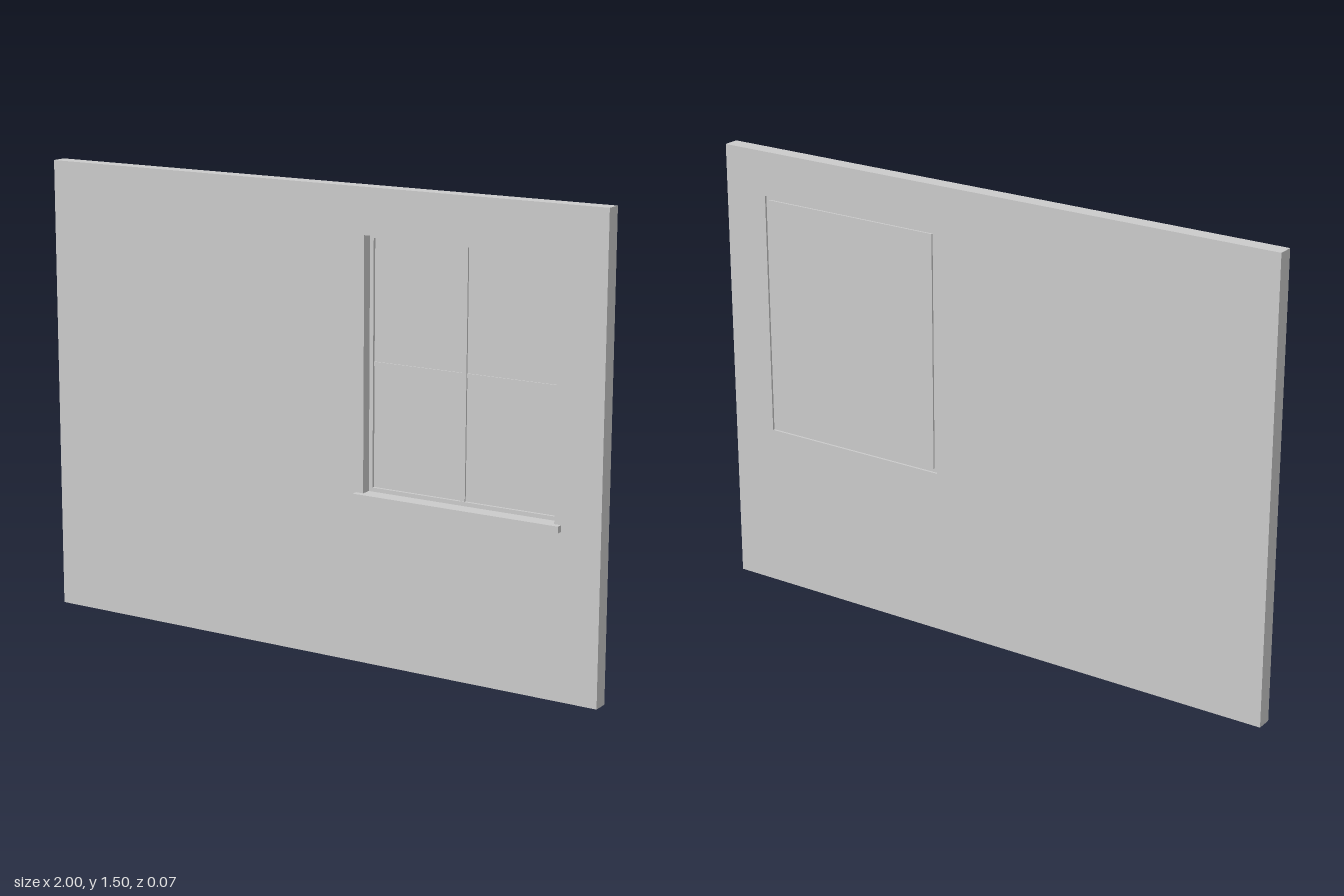
import * as THREE from 'three';

export function createModel() {
  const group = new THREE.Group();
  const material = new THREE.MeshStandardMaterial({ color: 0xcccccc });

  function add(name, geometry) {
    const mesh = new THREE.Mesh(geometry, material);
    mesh.name = name;
    group.add(mesh);
  }

  // Box given by its limits
  function box(name, x0, x1, y0, y1, z0, z1) {
    const g = new THREE.BoxGeometry(x1 - x0, y1 - y0, z1 - z0);
    add(name, g.translate((x0 + x1) / 2, (y0 + y1) / 2, (z0 + z1) / 2));
  }

  // Rectangular slab with a rectangular hole; rectangles are [x0, x1, y0, y1]
  function slabWithHole(name, outer, hole, z0, z1) {
    const corners = ([x0, x1, y0, y1]) =>
      [[x0, y0], [x1, y0], [x1, y1], [x0, y1]].map(([x, y]) => new THREE.Vector2(x, y));
    const shape = new THREE.Shape(corners(outer));
    shape.holes.push(new THREE.Path(corners(hole).reverse()));
    const g = new THREE.ExtrudeGeometry(shape, { depth: z1 - z0, bevelEnabled: false });
    add(name, g.translate(0, 0, z0));
  }

  const back = -0.036, front = 0.016;
  const opening = [0.184, 0.846, 0.548, 1.353];
  const inner = [0.197, 0.832, 0.561, 1.341];
  const [x0, x1, y0, y1] = inner;
  const cx = (x0 + x1) / 2, cy = (y0 + y1) / 2;

  // Wall with the window opening
  slabWithHole('wall', [-1, 1, 0, 1.5], opening, back, front);

  // Window: frame set back from both wall faces, pane near the back
  slabWithHole('windowFrame', opening, inner, -0.029, -0.018);
  box('windowPane', x0, x1, y0, y1, -0.035, -0.027);

  // Glazing bars, the upright one slightly proud
  box('verticalBar', cx - 0.008, cx + 0.008, y0, y1, -0.028, -0.021);
  box('horizontalBar', x0, x1, cy - 0.007, cy + 0.007, -0.028, -0.023);

  // Sill below the opening
  box('windowSill', 0.158, 0.869, 0.527, 0.548, front, 0.036);

  return group;
}
